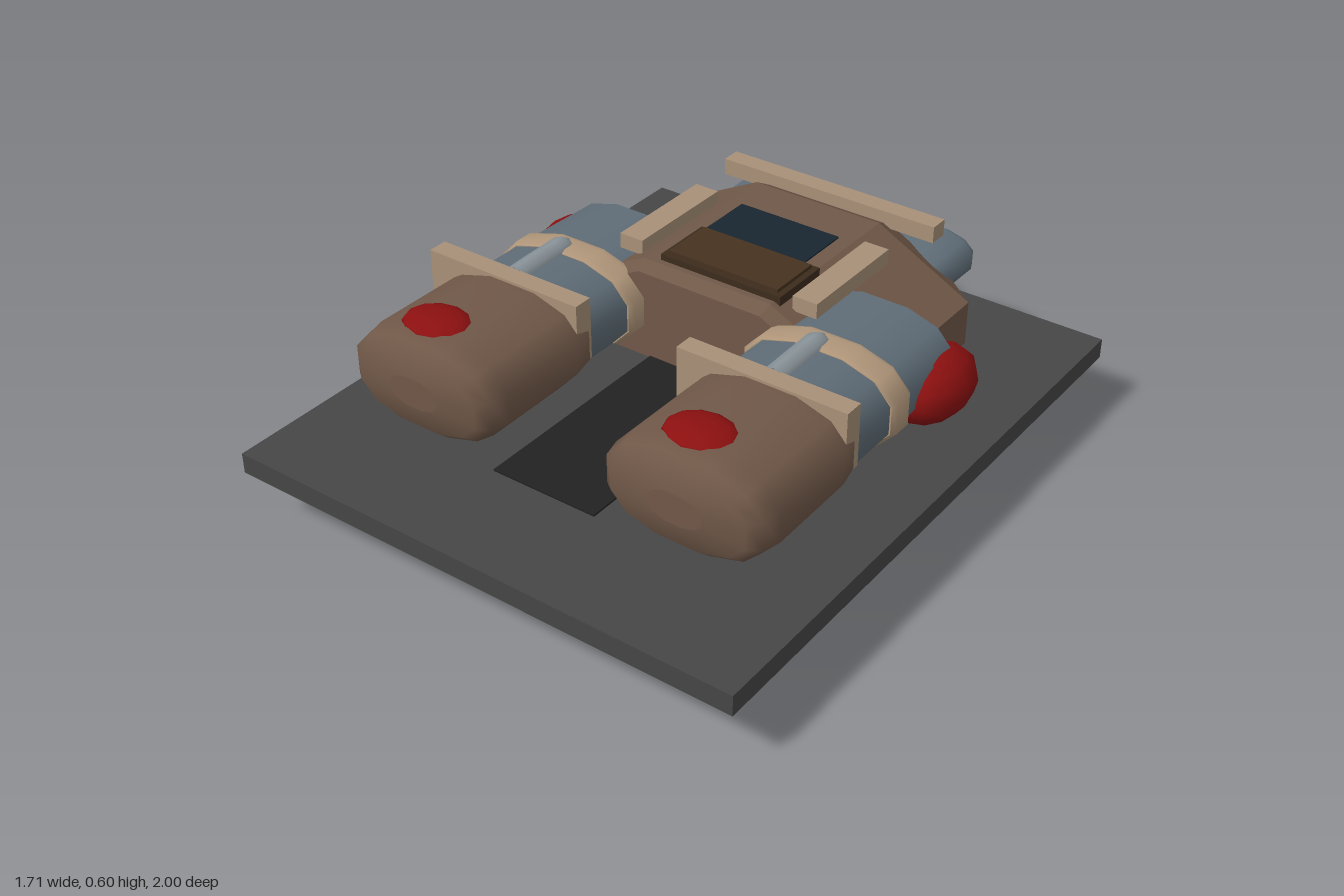
import * as THREE from 'three';

const mat = (color, flatShading = false) => new THREE.MeshStandardMaterial({ color, flatShading });
const HULL = 0x705848, TAN = 0xa89078, BLUE = 0x5f6d77, RED = 0x8c1010;
const CX = -0.04; // the craft sits slightly off the centre of its deck

// Skins a row of equal-length closed outlines (back to front) and caps both ends.
function loft(rings) {
  const n = rings[0].length, pos = [], idx = [];
  rings.forEach(r => r.forEach(p => pos.push(...p)));
  for (let i = 0; i < rings.length - 1; i++) {
    for (let j = 0; j < n; j++) {
      const a = i * n + j, b = i * n + (j + 1) % n;
      idx.push(a, b, b + n, a, b + n, a + n);
    }
  }
  [[rings[0], true], [rings[rings.length - 1], false]].forEach(([ring, back]) => {
    const base = pos.length / 3;
    ring.forEach(p => pos.push(...p));
    const c = [0, 1, 2].map(k => ring.reduce((s, p) => s + p[k], 0) / n);
    pos.push(...c);
    for (let j = 0; j < n; j++) {
      const a = base + j, b = base + (j + 1) % n;
      idx.push(base + n, back ? b : a, back ? a : b);
    }
  });
  const g = new THREE.BufferGeometry();
  g.setAttribute('position', new THREE.Float32BufferAttribute(pos, 3));
  g.setIndex(idx);
  g.computeVertexNormals();
  return g;
}

// Slightly squared oval outline
function oval(cx, cy, rx, ry, z, sides = 12, power = 0.85) {
  const soft = v => Math.sign(v) * Math.pow(Math.abs(v), power);
  return Array.from({ length: sides }, (_, i) => {
    const a = (i + 0.5) / sides * Math.PI * 2;
    return [cx + rx * soft(Math.cos(a)), cy + ry * soft(Math.sin(a)), z];
  });
}

// Eight-sided hull outline with long sloping shoulders
function hullRing(z, w, flat, y0, y1, shoulder) {
  const lo = y0 + shoulder, hi = y1 - shoulder;
  return [[flat, y0], [w, lo], [w, hi], [flat, y1], [-flat, y1], [-w, hi], [-w, lo], [-flat, y0]]
    .map(([x, y]) => [CX + x, y, z]);
}

export function createModel() {
  const root = new THREE.Group();
  const add = (name, geo, color, flat = false) => {
    const m = new THREE.Mesh(geo, mat(color, flat));
    m.name = name;
    root.add(m);
    return m;
  };
  const box = (name, x0, x1, y0, y1, z0, z1, color) => {
    const m = add(name, new THREE.BoxGeometry(x1 - x0, y1 - y0, z1 - z0), color);
    m.position.set((x0 + x1) / 2, (y0 + y1) / 2, (z0 + z1) / 2);
    return m;
  };
  const blob = (name, x, y, z, rx, ry, rz, color) => {
    const m = add(name, new THREE.SphereGeometry(1, 12, 8), color);
    m.position.set(x, y, z);
    m.scale.set(rx, ry, rz);
    return m;
  };

  // Deck and dark walkway
  box('deck', -0.855, 0.855, 0.187, 0.253, -1, 1, 0x464646);
  box('walkway', -0.22, 0.14, 0.25, 0.259, -0.12, 0.64, 0x222222);

  // Hull passing through the deck
  add('hull', loft([
    hullRing(-0.845, 0.44, 0.2, 0.04, 0.51, 0.13),
    hullRing(-0.73, 0.56, 0.23, 0, 0.57, 0.17),
    hullRing(-0.13, 0.56, 0.23, 0, 0.57, 0.17),
    hullRing(-0.09, 0.52, 0.22, 0.025, 0.545, 0.16),
  ]), HULL, true);

  // Roof window, hatch and rails
  box('roofWindow', -0.22, 0.14, 0.56, 0.575, -0.575, -0.35, 0x182630);
  box('hatch', -0.22, 0.21, 0.56, 0.59, -0.36, -0.15, 0x3c2c1c);
  box('hatchPanel', -0.2, 0.19, 0.585, 0.602, -0.345, -0.165, 0x463220);
  box('rearBar', -0.43, 0.355, 0.53, 0.585, -0.845, -0.78, TAN);
  for (const s of [-1, 1]) {
    const x = CX + s * 0.315;
    box('roofRail', x - 0.042, x + 0.042, 0.54, 0.59, -0.575, -0.18, TAN);
  }

  // Rear block between two thrusters
  add('rearBlock', loft([[-1, 0.09], [-0.98, 0.103], [-0.82, 0.103]].map(([z, w]) => {
    const h = w + 0.005;
    return [[w, -h], [w, h], [-w, h], [-w, -h]].map(([x, y]) => [CX + x, 0.385 + y, z]);
  })), TAN, true);
  for (const s of [-1, 1]) {
    const x = CX + s * 0.288;
    add('rearThruster', loft([
      oval(x, 0.39, 0.14, 0.07, -1, 12),
      oval(x, 0.39, 0.153, 0.085, -0.97, 12),
      oval(x, 0.39, 0.153, 0.08, -0.86, 12),
      oval(x, 0.39, 0.14, 0.06, -0.78, 12),
    ]), BLUE);
  }

  // Side arms: sleeve, collar, guard bar, nose pod and trim
  for (const s of [-1, 1]) {
    const x = CX + s * 0.46;
    add('armSleeve', loft([
      oval(x, 0.41, 0.24, 0.135, -0.39),
      oval(x, 0.41, 0.25, 0.143, -0.1),
      oval(x, 0.41, 0.25, 0.143, 0.16),
    ]), BLUE);
    add('armCollar', loft([
      oval(x, 0.41, 0.255, 0.145, -0.125),
      oval(x, 0.41, 0.267, 0.152, -0.105),
      oval(x, 0.41, 0.267, 0.152, -0.045),
      oval(x, 0.41, 0.255, 0.145, -0.028),
    ]), 0xb0967a);
    add('nosePod', loft([
      oval(x, 0.41, 0.255, 0.145, 0.16),
      oval(x, 0.41, 0.272, 0.157, 0.24),
      oval(x, 0.41, 0.275, 0.157, 0.55),
      oval(x, 0.41, 0.262, 0.145, 0.61),
      oval(x, 0.41, 0.225, 0.12, 0.64),
      oval(x, 0.41, 0.09, 0.05, 0.652),
    ]), HULL);
    const g = CX + s * 0.463 - 0.037;
    box('guardBar', g - 0.283, g + 0.283, 0.362, 0.567, 0.145, 0.21, TAN);

    const px = CX + s * 0.465 - 0.035;
    blob('podLight', px, 0.55, 0.49, 0.112, 0.033, 0.093, RED);
    blob('sideLight', CX + s * 0.665, 0.36, -0.335, 0.12, 0.107, 0.175, RED);

    // Bent pipe running over the sleeve
    const path = new THREE.CatmullRomCurve3([
      [0.49, -0.095], [0.533, -0.08], [0.538, 0], [0.535, 0.15],
    ].map(([y, z]) => new THREE.Vector3(px, y, z)));
    add('pipe', new THREE.TubeGeometry(path, 14, 0.04, 8), 0x8a949a);
  }
  return root;
}
